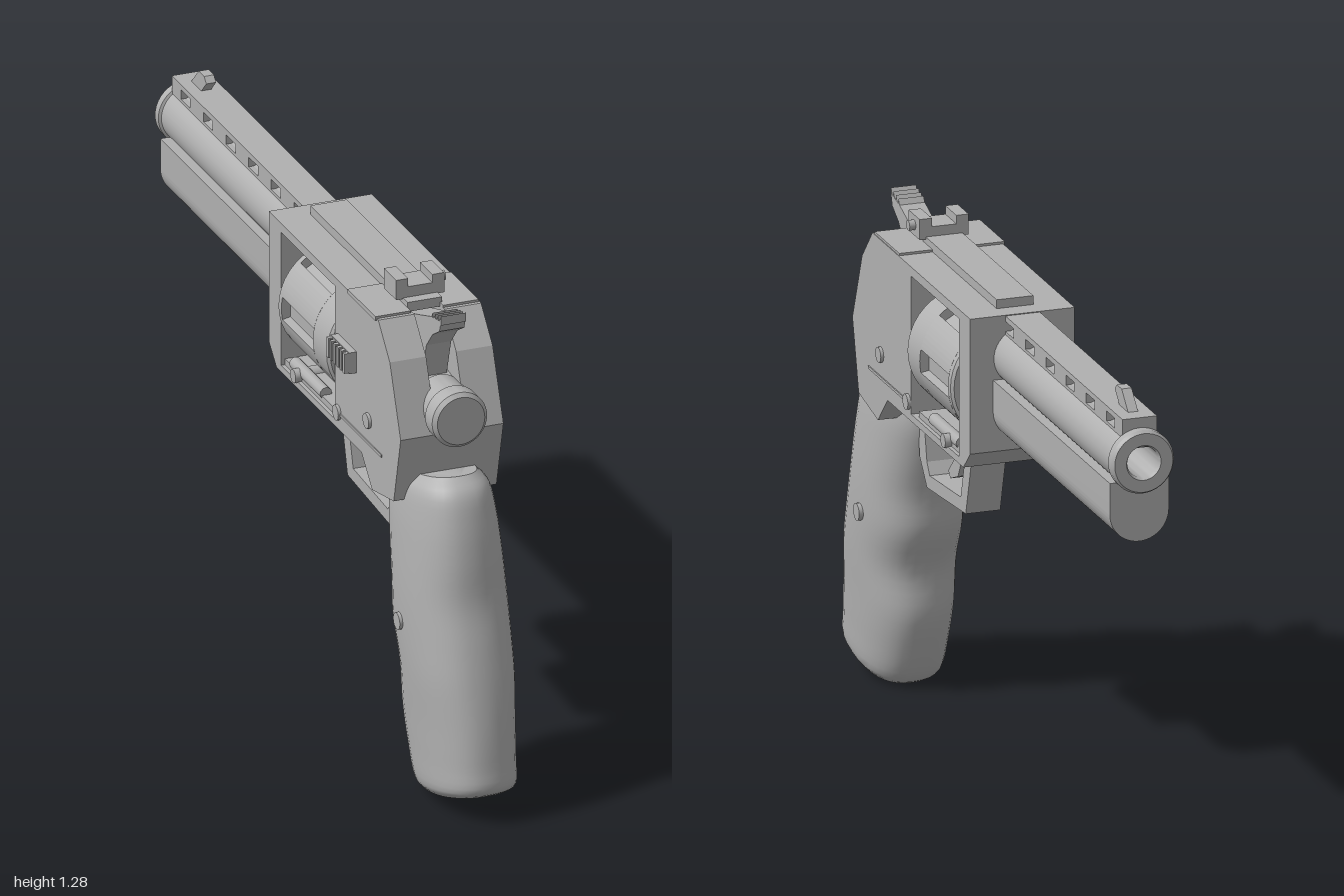
import * as THREE from 'three';
import { toCreasedNormals } from 'three/addons/utils/BufferGeometryUtils.js';

const CX = 0.006; // centre plane of the body
const AXIS = 1.01; // height of the drum axis
const BORE = 1.11; // height of the barrel axis

export function createModel() {
  const model = new THREE.Group();
  const steel = new THREE.MeshStandardMaterial({ color: 0xb0b0b0 });
  steel.name = 'grey';

  const add = (name, geometry) => {
    const mesh = new THREE.Mesh(geometry, steel);
    mesh.name = name;
    model.add(mesh);
    return mesh;
  };
  const toShape = (pts) => new THREE.Shape(pts.map(([a, b]) => new THREE.Vector2(a, b)));
  const rect = (a0, b0, a1, b1) => [[a0, b0], [a1, b0], [a1, b1], [a0, b1]];

  // side profile in (z, y), spanning x0..x1
  const plate = (name, pts, x0, x1, holes = []) => {
    const shape = toShape(pts);
    holes.forEach((h) => shape.holes.push(toShape(h)));
    const g = new THREE.ExtrudeGeometry(shape, { depth: x1 - x0, bevelEnabled: false });
    g.rotateY(-Math.PI / 2).translate(x1, 0, 0);
    return add(name, g);
  };
  // cross-section in (x, y), spanning z0..z1
  const bar = (name, shape, z0, z1) => {
    const g = new THREE.ExtrudeGeometry(shape, { depth: z1 - z0, bevelEnabled: false, curveSegments: 24 });
    return add(name, toCreasedNormals(g.translate(0, 0, z0), 0.5));
  };
  const box = (name, x0, x1, y0, y1, z0, z1) =>
    add(name, new THREE.BoxGeometry(x1 - x0, y1 - y0, z1 - z0)
      .translate((x0 + x1) / 2, (y0 + y1) / 2, (z0 + z1) / 2));
  const crossPin = (name, x0, x1, y, z, r) =>
    add(name, new THREE.CylinderGeometry(r, r, x1 - x0, 16)
      .rotateZ(Math.PI / 2).translate((x0 + x1) / 2, y, z));
  // turned part; profile is [radius, forward distance], forward is -z
  const turned = (name, pts, y) => {
    const g = new THREE.LatheGeometry(pts.map(([r, d]) => new THREE.Vector2(r, d)), 40);
    return add(name, toCreasedNormals(g.rotateX(-Math.PI / 2).translate(CX, y, 0), 0.5));
  };

  // Frame: two cheeks and a middle slab that leaves the hammer slot open
  const lower = [[-0.12, 1.22], [-0.12, 0.87], [-0.07, 0.82], [0.48, 0.82],
    [0.55, 0.747], [0.69, 0.774], [0.735, 0.956]];
  const windowHole = rect(-0.04, 0.838, 0.31, 1.196);
  const cheek = [...lower, [0.665, 1.137], [0.59, 1.22]];
  plate('frameRight', cheek, -0.13, CX - 0.04, [windowHole]);
  plate('frameLeft', cheek, CX + 0.04, 0.143, [windowHole]);
  plate('frameMiddle', [...lower, [0.7, 1.05], [0.52, 1.08], [0.47, 1.22]],
    CX - 0.04, CX + 0.04, [windowHole]);
  box('topStrap', CX - 0.048, CX + 0.048, 1.215, 1.243, -0.065, 0.47);
  for (const s of [-1, 1]) {
    const x = CX + s * 0.09;
    box('topStrapTail', x - 0.05, x + 0.045, 1.215, 1.226, 0.4, 0.58);
  }

  // Pins and side seam
  crossPin('framePin', -0.138, 0.151, 0.924, 0.527, 0.02);
  crossPin('seamPin', -0.138, 0.151, 0.865, 0.33, 0.02);
  crossPin('cranePin', -0.138, 0.151, 0.85, 0.056, 0.018);
  crossPin('gripPin', -0.13, 0.143, 0.459, 0.708, 0.022);
  box('sideSeam', -0.133, 0.146, 0.861, 0.868, 0.34, 0.615);
  box('craneArm', -0.12, 0.133, 0.836, 0.854, -0.04, 0.28);
  const rod = new THREE.CylinderGeometry(0.016, 0.016, 0.2, 12).rotateX(Math.PI / 2);
  for (const s of [-1, 1]) add('craneRod', rod.clone().translate(CX + s * 0.115, 0.858, 0.1));

  // Drum: plain ends with a fluted middle
  const fluted = new THREE.Shape();
  const R = 0.152, half = 0.2;
  for (let i = 0; i < 6; i++) {
    const a = (i * Math.PI) / 3;
    const at = (r, t) => [CX + r * Math.cos(t), AXIS + r * Math.sin(t)];
    if (i === 0) fluted.moveTo(...at(R, a - half));
    fluted.lineTo(...at(R - 0.022, a - half));
    fluted.lineTo(...at(R - 0.022, a + half));
    fluted.lineTo(...at(R, a + half));
    fluted.absarc(CX, AXIS, R, a + half, a + Math.PI / 3 - half, false);
  }
  bar('drumFlutes', fluted, 0, 0.205);
  turned('drumRear', [[0, -0.3], [0.145, -0.3], [R, -0.293], [R, -0.205], [0, -0.205]], AXIS);
  turned('drumFront', [[0, 0], [R, 0], [R, 0.018], [0.145, 0.025], [0.025, 0.025], [0.025, 0.045]], AXIS);
  turned('drumSpindle', [[0.03, -0.32], [0.03, -0.29]], AXIS);
  for (let i = 0; i < 12; i++) {
    const a = ((i + 0.5) * Math.PI) / 6;
    add('ratchetTooth', new THREE.BoxGeometry(0.03, 0.025, 0.02)
      .translate(0.115, 0, 0).rotateZ(a).translate(CX, AXIS, 0.305));
  }

  // Barrel, muzzle and bore
  turned('barrel', [[0.075, 0.1], [0.075, 0.965], [0.082, 0.968], [0.082, 0.99], [0.076, 1],
    [0.045, 1], [0.04, 0.99], [0.04, 0.8], [0, 0.8]], BORE);

  // Underlug with a rounded belly
  const lug = new THREE.Shape();
  lug.moveTo(CX + 0.077, 1.055);
  lug.lineTo(CX - 0.077, 1.055);
  lug.lineTo(CX - 0.077, 0.974);
  lug.absarc(CX, 0.974, 0.077, Math.PI, Math.PI * 2, false);
  bar('underlug', lug, -0.967, -0.1);

  // Ventilated rib
  const slots = [];
  for (let i = 0; i < 6; i++) {
    const z = -0.15 - 0.1465 * i;
    slots.push(rect(z - 0.03, 1.178, z + 0.03, 1.204));
  }
  plate('ventRib', rect(-0.97, 1.14, -0.1, 1.218), CX - 0.045, CX + 0.045, slots);

  // Sights
  plate('frontSight', [[-0.925, 1.215], [-0.86, 1.215], [-0.825, 1.25], [-0.84, 1.264], [-0.875, 1.264]],
    CX - 0.013, CX + 0.013);
  const notch = [[-0.058, 1.237], [0.07, 1.237], [0.07, 1.29], [0.038, 1.29], [0.038, 1.268],
    [-0.026, 1.268], [-0.026, 1.29], [-0.058, 1.29]];
  bar('rearSight', toShape(notch), 0.45, 0.53);
  box('rearSightBase', -0.04, 0.052, 1.215, 1.24, 0.44, 0.56);
  crossPin('sightScrew', 0.06, 0.086, 1.264, 0.49, 0.013);

  // Hammer with a ridged spur
  plate('hammer', [[0.745, 1.262], [0.68, 1.25], [0.6, 1.222], [0.5, 1.19], [0.5, 1.06], [0.62, 1.06],
    [0.65, 1.16], [0.69, 1.205], [0.735, 1.232]], CX - 0.033, CX + 0.033);
  for (let i = 0; i < 4; i++) {
    const z = 0.738 - i * 0.018;
    const y = 1.262 - i * 0.004;
    plate('spurRidge', [[z - 0.009, y - 0.01], [z + 0.007, y - 0.01], [z + 0.007, y + 0.014]],
      CX - 0.033, CX + 0.033);
  }

  // Rear boss
  turned('rearBoss', [[0, -0.795], [0.063, -0.795], [0.073, -0.785], [0.073, -0.74],
    [0.066, -0.73], [0.066, -0.65]], AXIS);

  // Thumb latch with ridges
  box('thumbLatch', -0.15, -0.12, 1.02, 1.077, 0.33, 0.45);
  for (let i = 0; i < 6; i++) {
    const z = 0.333 + i * 0.0205;
    box('latchRidge', -0.162, -0.145, 1.022, 1.075, z, z + 0.012);
  }

  // Trigger and guard
  plate('triggerGuard', [[0.51, 0.83], [0.505, 0.66], [0.45, 0.593], [0.168, 0.614], [0.13, 0.75],
    [0.13, 0.83], [0.175, 0.83], [0.178, 0.742], [0.205, 0.646], [0.43, 0.63], [0.45, 0.66], [0.485, 0.83]],
  CX - 0.045, CX + 0.045);
  plate('trigger', [[0.3, 0.83], [0.238, 0.83], [0.243, 0.742], [0.28, 0.673], [0.335, 0.651],
    [0.35, 0.667], [0.307, 0.71], [0.29, 0.764]], CX - 0.025, CX + 0.025);

  add('grip', gripGeometry());
  return model;
}

// Grip: rounded sections lofted between a back line and a front line
function gripGeometry() {
  // back z, back y, front z, front y, half width
  const rows = [
    [0.965, 0.07, 0.69, 0.006, 0.09], [0.997, 0.095, 0.652, 0.028, 0.108],
    [0.993, 0.15, 0.607, 0.12, 0.113], [0.98, 0.245, 0.58, 0.215, 0.118],
    [0.955, 0.36, 0.585, 0.325, 0.125], [0.93, 0.45, 0.543, 0.44, 0.128],
    [0.898, 0.555, 0.538, 0.535, 0.127], [0.883, 0.66, 0.51, 0.646, 0.121],
    [0.863, 0.755, 0.493, 0.737, 0.113], [0.835, 0.828, 0.505, 0.79, 0.1],
    [0.79, 0.86, 0.54, 0.81, 0.075],
  ];
  const back = new THREE.CatmullRomCurve3(rows.map((r) => new THREE.Vector3(r[4], r[1], r[0])));
  const front = new THREE.CatmullRomCurve3(rows.map((r) => new THREE.Vector3(r[4], r[3], r[2])));
  const N = 40, M = 36, pos = [], idx = [];
  const soft = (v) => Math.sign(v) * Math.abs(v) ** 0.85;
  for (let i = 0; i <= N; i++) {
    const b = back.getPoint(i / N), f = front.getPoint(i / N);
    for (let j = 0; j < M; j++) {
      const a = (j / M) * Math.PI * 2;
      const k = (1 + soft(Math.cos(a))) / 2; // 1 at the back, 0 at the front
      pos.push(CX + b.x * soft(Math.sin(a)), f.y + (b.y - f.y) * k, f.z + (b.z - f.z) * k);
      if (i < N) {
        const p = i * M + j, q = i * M + ((j + 1) % M);
        idx.push(p, q, q + M, p, q + M, p + M);
      }
    }
  }
  // end caps
  for (let j = 1; j < M - 1; j++) {
    idx.push(0, j + 1, j, N * M, N * M + j, N * M + j + 1);
  }
  const g = new THREE.BufferGeometry();
  g.setAttribute('position', new THREE.Float32BufferAttribute(pos, 3));
  g.setIndex(idx);
  return toCreasedNormals(g, 0.7);
}
